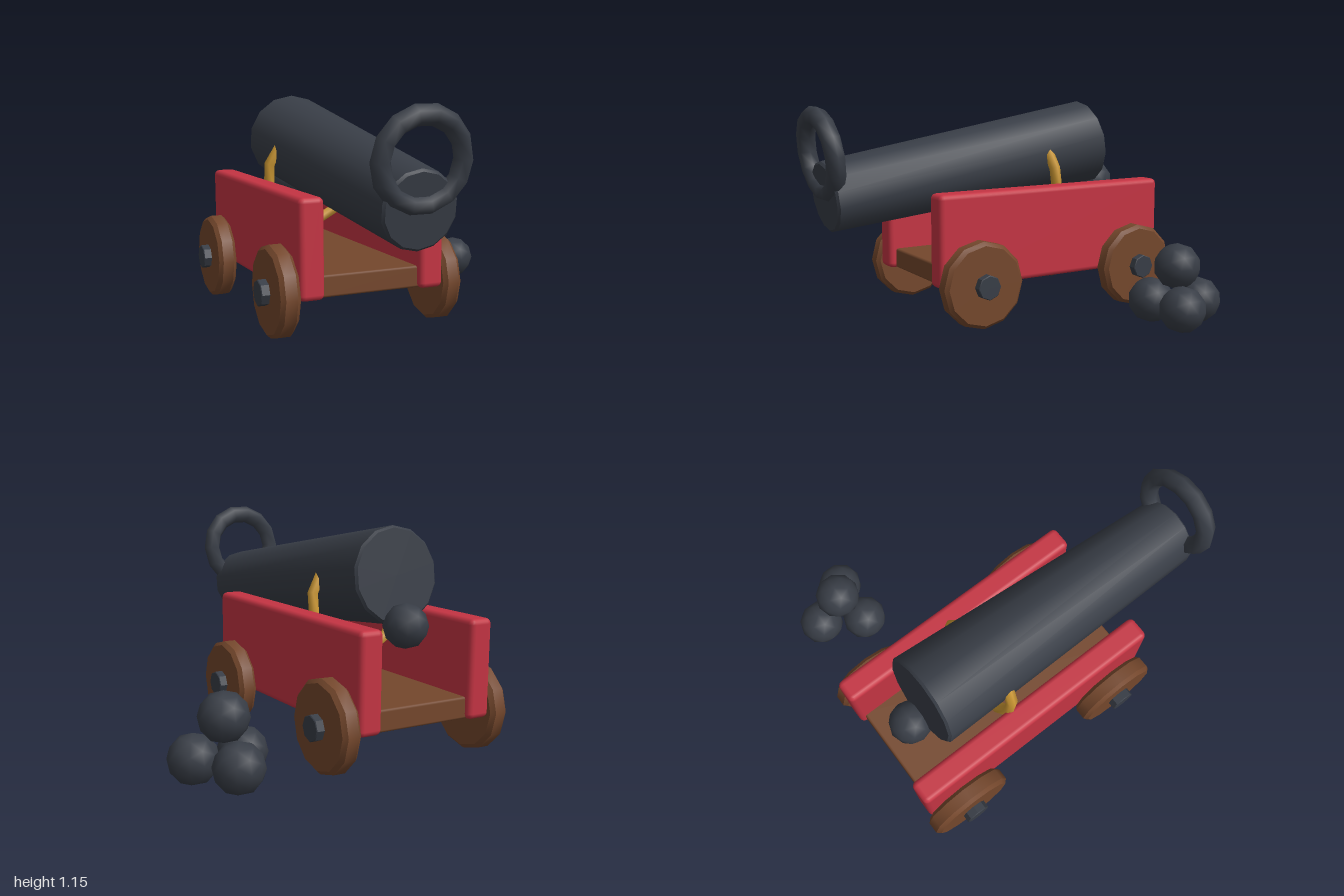
import * as THREE from 'three';
import { toCreasedNormals } from 'three/addons/utils/BufferGeometryUtils.js';
import { RoundedBoxGeometry } from 'three/addons/geometries/RoundedBoxGeometry.js';

const material = (name, color) => {
  const m = new THREE.MeshStandardMaterial({ color });
  m.name = name;
  return m;
};

// Solid of revolution along y from y0 to y1, with bevelled rims
function turned(r0, r1, y0, y1, bevel, sides) {
  const points = [
    [0, y0], [r0 - bevel, y0], [r0, y0 + bevel],
    [r1, y1 - bevel], [r1 - bevel, y1], [0, y1],
  ].map(([x, y]) => new THREE.Vector2(x, y));
  return toCreasedNormals(new THREE.LatheGeometry(points, sides), 0.72);
}

export function createModel() {
  const model = new THREE.Group();
  model.name = 'cannon';
  const iron = material('dark iron', 0x383d46);
  const red = material('red paint', 0xc43443);
  const wood = material('brown wood', 0x74472c);
  const brass = material('brass', 0xcb9733);

  const add = (name, geometry, mat, x, y, z, parent = model) => {
    const mesh = new THREE.Mesh(geometry, mat);
    mesh.name = name;
    mesh.position.set(x, y, z);
    parent.add(mesh);
    return mesh;
  };

  const cx = -0.32; // centre line of the carriage
  const tilt = 0.135; // downward pitch of the barrel

  // Carriage bed and side boards
  const carriage = new THREE.Group();
  carriage.name = 'carriage';
  model.add(carriage);
  add('bed', new RoundedBoxGeometry(0.56, 0.11, 1.34, 1, 0.012), wood, cx, 0.272, -0.27, carriage);
  const board = new RoundedBoxGeometry(0.128, 0.495, 1.41, 2, 0.028);
  const wheel = turned(0.232, 0.232, -0.05, 0.05, 0.02, 12);
  const hub = turned(0.066, 0.066, -0.08, 0.08, 0.004, 8);

  for (const side of [-1, 1]) {
    const label = side > 0 ? 'left' : 'right';
    add(label + 'SideBoard', board, red, cx + side * 0.318, 0.462, -0.265, carriage);
    // Wheels with protruding hubs
    for (const [end, z] of [['Front', 0.232], ['Rear', -0.768]]) {
      const w = add(label + end + 'Wheel', wheel, wood, cx + side * 0.431, 0.235, z, carriage);
      const h = add(label + end + 'Hub', hub, iron, cx + side * 0.444, 0.235, z, carriage);
      w.rotation.z = h.rotation.z = -side * Math.PI / 2;
    }
  }

  // Barrel, wide at the breech and pitched down towards the muzzle
  const barrel = add('barrel', turned(0.242, 0.188, -1.635, 0, 0.012, 14), iron, cx, 0.69, 0.912);
  barrel.rotation.x = Math.PI / 2 + tilt;

  // Raised ring on the muzzle
  const ring = add('muzzleRing', new THREE.TorusGeometry(0.203, 0.05, 6, 14), iron, cx, 0.912, 0.925);
  ring.rotation.x = tilt;

  // Brass hoop cradling the barrel
  const hoopGeometry = new THREE.TorusGeometry(0.259, 0.03, 6, 12).rotateZ(Math.PI / 12);
  const hoop = add('barrelHoop', hoopGeometry, brass, cx, 0.728, -0.352);
  hoop.rotation.x = tilt;

  // Knob behind the breech
  add('breechKnob', new THREE.IcosahedronGeometry(0.112, 1), iron, cx, 0.675, -0.787);

  // Pile of cannonballs
  const pile = new THREE.Group();
  pile.name = 'cannonballPile';
  model.add(pile);
  const ball = new THREE.IcosahedronGeometry(0.123, 1);
  for (const [x, y, z] of [
    [0.47, 0.125, -0.605], [0.72, 0.125, -0.605], [0.596, 0.125, -0.818], [0.596, 0.322, -0.67],
  ]) add('cannonball', ball, iron, x, y, z, pile);

  return model;
}
